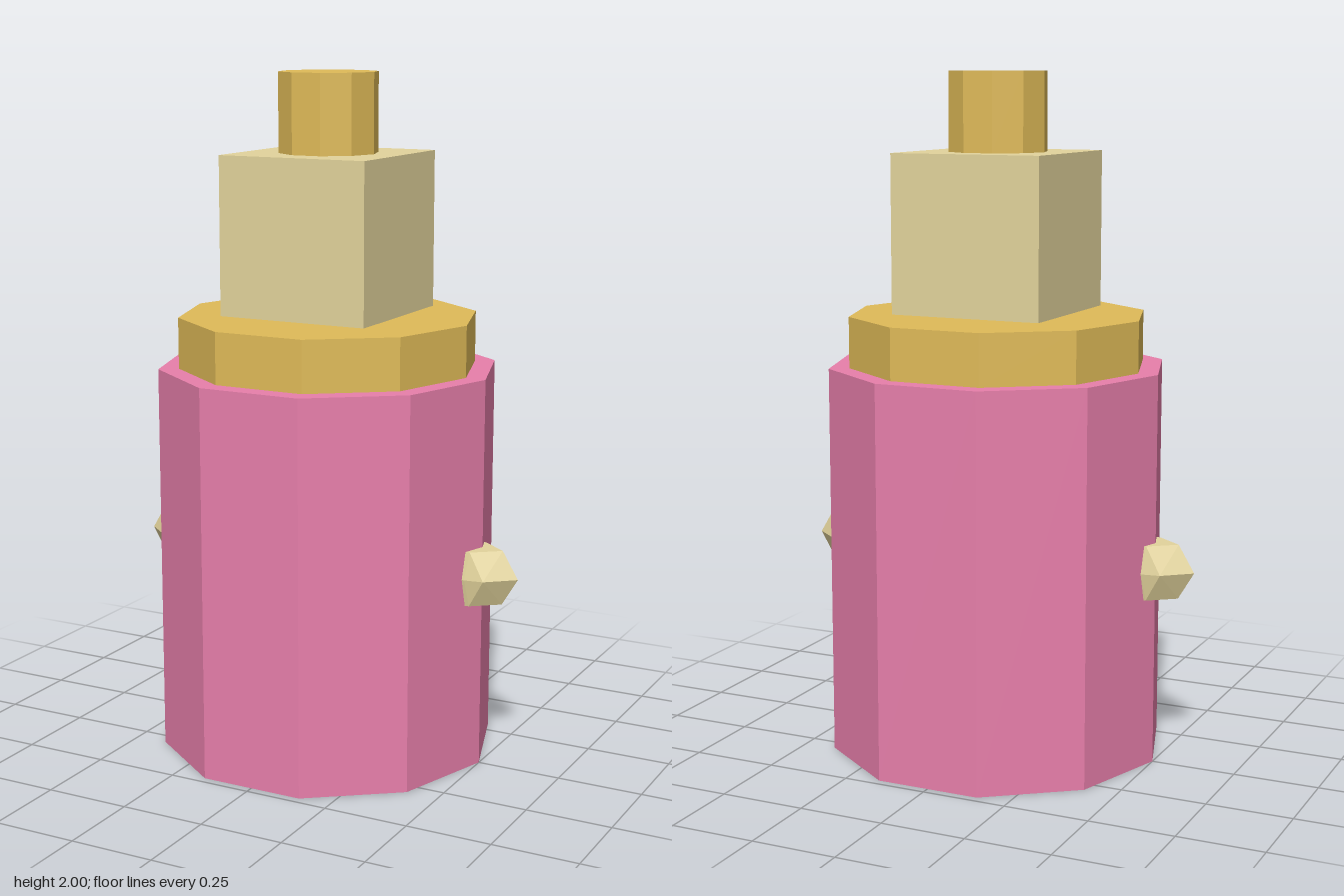
import * as THREE from 'three';
import { ConvexGeometry } from 'three/addons/geometries/ConvexGeometry.js';

const material = (color) => new THREE.MeshStandardMaterial({ color, flatShading: true });

export function createModel() {
  const group = new THREE.Group();
  const pink = material(0xe87fab);
  const gold = material(0xe0bb58);
  const cream = material(0xe3d49c);

  const add = (name, geometry, mat) => {
    const mesh = new THREE.Mesh(geometry, mat);
    mesh.name = name;
    group.add(mesh);
    return mesh;
  };

  // Ten-sided drum with corners on the x axis
  const drum = (name, radius, bottom, top, mat) => {
    const geometry = new THREE.CylinderGeometry(radius, radius, top - bottom, 10, 1, false, Math.PI / 2);
    add(name, geometry, mat).position.y = (bottom + top) / 2;
  };

  drum('body', 0.5, 0, 1.15, pink);
  drum('collar', 0.44, 1.15, 1.3, gold);
  drum('topKnob', 0.145, 1.77, 2, gold);

  // Cube head, just clear of the collar
  add('headBlock', new THREE.BoxGeometry(0.46, 0.46, 0.46), cream).position.y = 1.54;

  // Faceted side studs: a wide middle outline between narrower top and bottom ones
  const middle = [[0.615, 0], [0.535, 0.067], [0.48, 0.074], [0.42, 0.074]];
  const cap = [[0.567, 0], [0.49, 0.06], [0.42, 0.06]];
  for (const side of [1, -1]) {
    const points = [];
    for (const flip of [1, -1]) {
      for (const [x, z] of middle) points.push(new THREE.Vector3(side * x, 0, flip * z));
      for (const [x, z] of cap) {
        for (const y of [0.08, -0.08]) points.push(new THREE.Vector3(side * x, y, flip * z));
      }
    }
    const stud = add(side > 0 ? 'leftStud' : 'rightStud', new ConvexGeometry(points), cream);
    stud.position.set(0, 0.58, 0.01);
  }

  return group;
}
